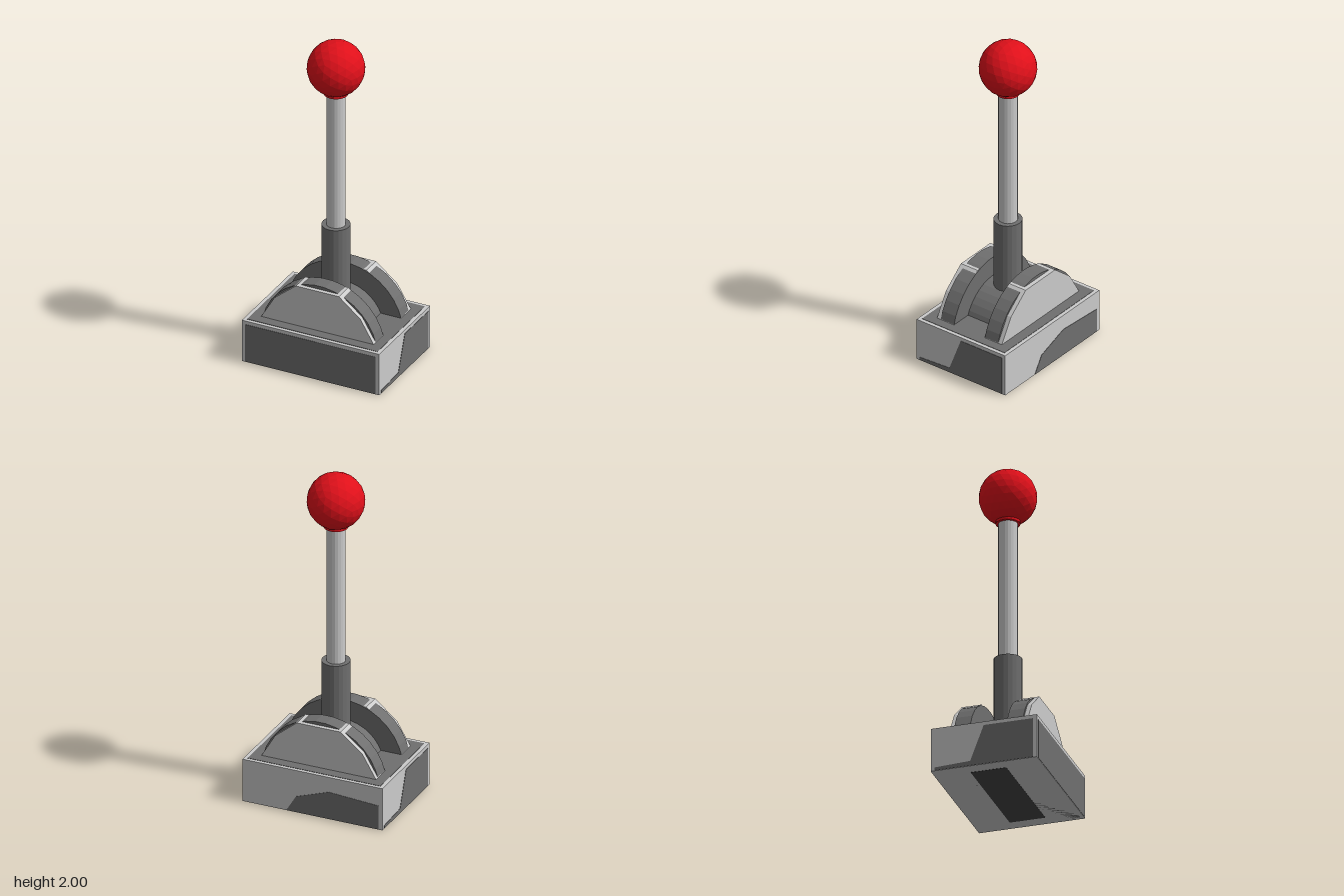
import * as THREE from 'three';

const material = (color, side = THREE.FrontSide) =>
  new THREE.MeshStandardMaterial({ color, flatShading: true, side });

export function createModel() {
  const model = new THREE.Group();
  const light = material(0xcccccc);
  const dark = material(0x6f6f6f);
  const red = material(0xe0101a);
  const W = 0.864, H = 0.262, D = 0.626; // base size
  const deck = H - 0.012, pivotY = 0.168;

  const add = (name, geometry, mat, x = 0, y = 0, z = 0) => {
    const mesh = new THREE.Mesh(geometry, mat);
    mesh.name = name;
    mesh.position.set(x, y, z);
    model.add(mesh);
    return mesh;
  };
  const slab = (points, depth) => new THREE.ExtrudeGeometry(
    new THREE.Shape(points.map(([x, y]) => new THREE.Vector2(x, y))),
    { depth, bevelEnabled: false });
  // Circle segment about the pivot, cut off flat at the deck
  const segment = (radius, steps) => {
    const a = Math.asin((deck - pivotY) / radius);
    return Array.from({ length: steps + 1 }, (_, i) => {
      const t = a + (Math.PI - 2 * a) * i / steps;
      return [radius * Math.cos(t), pivotY + radius * Math.sin(t)];
    });
  };

  // Base block with thin dark panels
  add('base', new THREE.BoxGeometry(W, H, D), light, 0, H / 2, 0);
  add('topPanel', new THREE.BoxGeometry(0.82, 0.004, 0.582), dark, 0, H, 0);
  add('frontPanel', slab([[-0.41, 0.002], [0.41, 0.002], [0.41, 0.24], [-0.41, 0.24]], 0.002), dark, 0, 0, D / 2);
  const sidePoints = [[0.29, 0.002], [0.29, 0.24], [0, 0.24], [-0.08, 0.03], [-0.29, 0.02], [-0.29, 0.002]];
  for (const s of [1, -1]) {
    const panel = add(s > 0 ? 'leftPanel' : 'rightPanel', slab(sidePoints, 0.002), dark, s * W / 2, 0, 0);
    panel.rotation.y = s * Math.PI / 2;
  }
  const back = add('backPanel',
    slab([[-0.16, 0.002], [0.41, 0.002], [0.41, 0.15], [0.1, 0.17], [-0.1, 0.1]], 0.002), dark, 0, 0, -D / 2);
  back.rotation.y = Math.PI;
  add('bottomPanel', new THREE.BoxGeometry(0.82, 0.004, 0.582), dark, 0, 0.002, 0);
  add('bottomSlot', new THREE.BoxGeometry(0.7, 0.004, 0.21), material(0x444444), 0, 0.001, 0);

  // Faceted guide plates with a dark arch showing through their rims
  const plate = [[0.361, deck], [0.355, H], [0.27, 0.405], [0.135, 0.515],
    [-0.135, 0.515], [-0.27, 0.405], [-0.355, H], [-0.361, deck]];
  for (const s of [1, -1]) {
    const side = s > 0 ? 'front' : 'back';
    add(side + 'GuidePlate', slab(plate, 0.118), light, 0, 0, s > 0 ? 0.111 : -0.229);
    add(side + 'GuideArch', slab(segment(0.367, 15), 0.094), dark, 0, 0, s > 0 ? 0.109 : -0.203);
  }

  // Pivot wheel between the plates
  add('pivotWheel', slab(segment(0.246, 14), 0.218), dark, 0, 0, -0.109);

  // Lever: socket, rod, collar and knob
  add('socket', new THREE.CylinderGeometry(0.082, 0.082, 0.495, 20), dark, 0, 0.5875, 0);
  add('rod', new THREE.CylinderGeometry(0.055, 0.055, 0.88, 20), light, 0, 1.25, 0);
  add('knobCollar', new THREE.CylinderGeometry(0.07, 0.07, 0.025, 20), red, 0, 1.685, 0);
  add('knob', new THREE.IcosahedronGeometry(0.165, 3), red, 0, 1.835, 0);

  return model;
}
